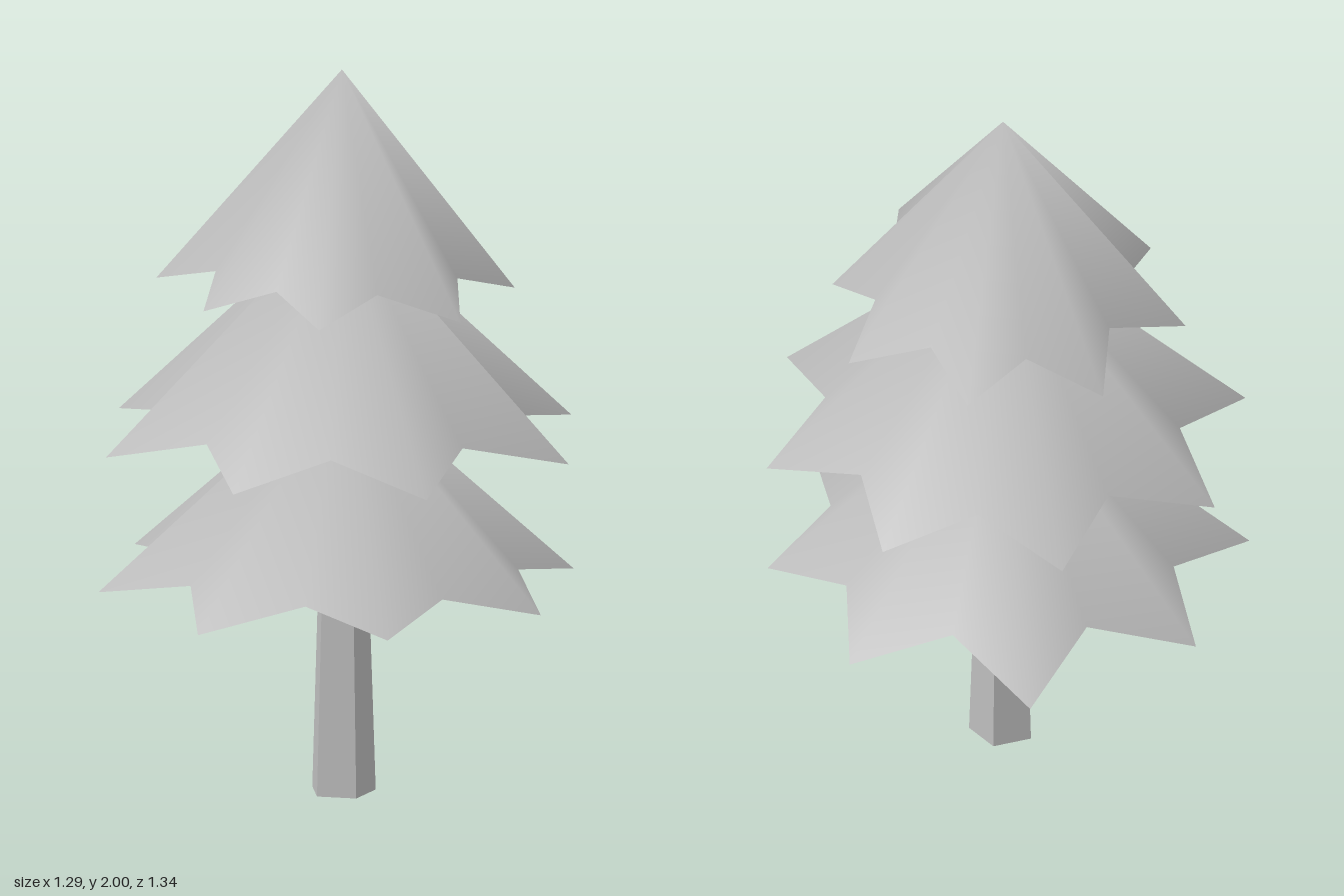
import * as THREE from 'three';

const grey = new THREE.MeshStandardMaterial({ color: 0xbcbcbc, side: THREE.DoubleSide });
grey.name = 'plain grey';

const trunkGrey = grey;

// Open star-shaped pyramid: an apex joined to a rim of low tips and higher, pulled-in notches.
function branchTier(name, apexY, tipY, notchY, notchRadius, tips) {
  const positions = [0, apexY, 0];
  const index = [];
  const n = tips.length;
  tips.forEach(([x, z], i) => {
    const here = new THREE.Vector2(x, z);
    const next = new THREE.Vector2(...tips[(i + 1) % n]);
    const notch = here.clone().normalize().add(next.normalize()).setLength(notchRadius);
    positions.push(x, tipY, z, notch.x, notchY, notch.y);
  });
  const rim = n * 2;
  for (let i = 0; i < rim; i++) index.push(0, 1 + ((i + 1) % rim), 1 + i);

  const geometry = new THREE.BufferGeometry();
  geometry.setAttribute('position', new THREE.Float32BufferAttribute(positions, 3));
  geometry.setIndex(index);
  geometry.computeVertexNormals();
  const mesh = new THREE.Mesh(geometry, grey);
  mesh.name = name;
  return mesh;
}

export function createModel() {
  const tree = new THREE.Group();
  tree.name = 'pineTree';

  // Five-sided tapering trunk, open at the bottom
  const height = 1.5;
  const trunkGeometry = new THREE.CylinderGeometry(0.043, 0.091, height, 5, 1, true).toNonIndexed();
  trunkGeometry.computeVertexNormals();
  const trunk = new THREE.Mesh(trunkGeometry, trunkGrey);
  trunk.name = 'trunk';
  trunk.position.y = height / 2;
  trunk.rotation.y = THREE.MathUtils.degToRad(-7.5);
  tree.add(trunk);

  // Three tiers of branches; tips are [x, z], going round from the back
  tree.add(branchTier('lowerBranches', 1.17, 0.58, 0.637, 0.48, [
    [-0.264, -0.621], [0.261, -0.675], [0.6, -0.275], [0.596, 0.218],
    [0.264, 0.579], [-0.221, 0.579], [-0.621, 0.261], [-0.611, -0.254],
  ]));
  tree.add(branchTier('middleBranches', 1.62, 0.98, 1.045, 0.48, [
    [-0.346, -0.571], [0.15, -0.646], [0.539, -0.35], [0.643, 0.132],
    [0.364, 0.561], [-0.154, 0.668], [-0.561, 0.343], [-0.646, -0.161],
  ]));
  tree.add(branchTier('upperBranches', 2, 1.405, 1.465, 0.35, [
    [-0.386, -0.32], [-0.043, -0.507], [0.3, -0.38], [0.496, -0.064],
    [0.371, 0.279], [0.057, 0.504], [-0.307, 0.371], [-0.464, 0.04],
  ]));

  return tree;
}
